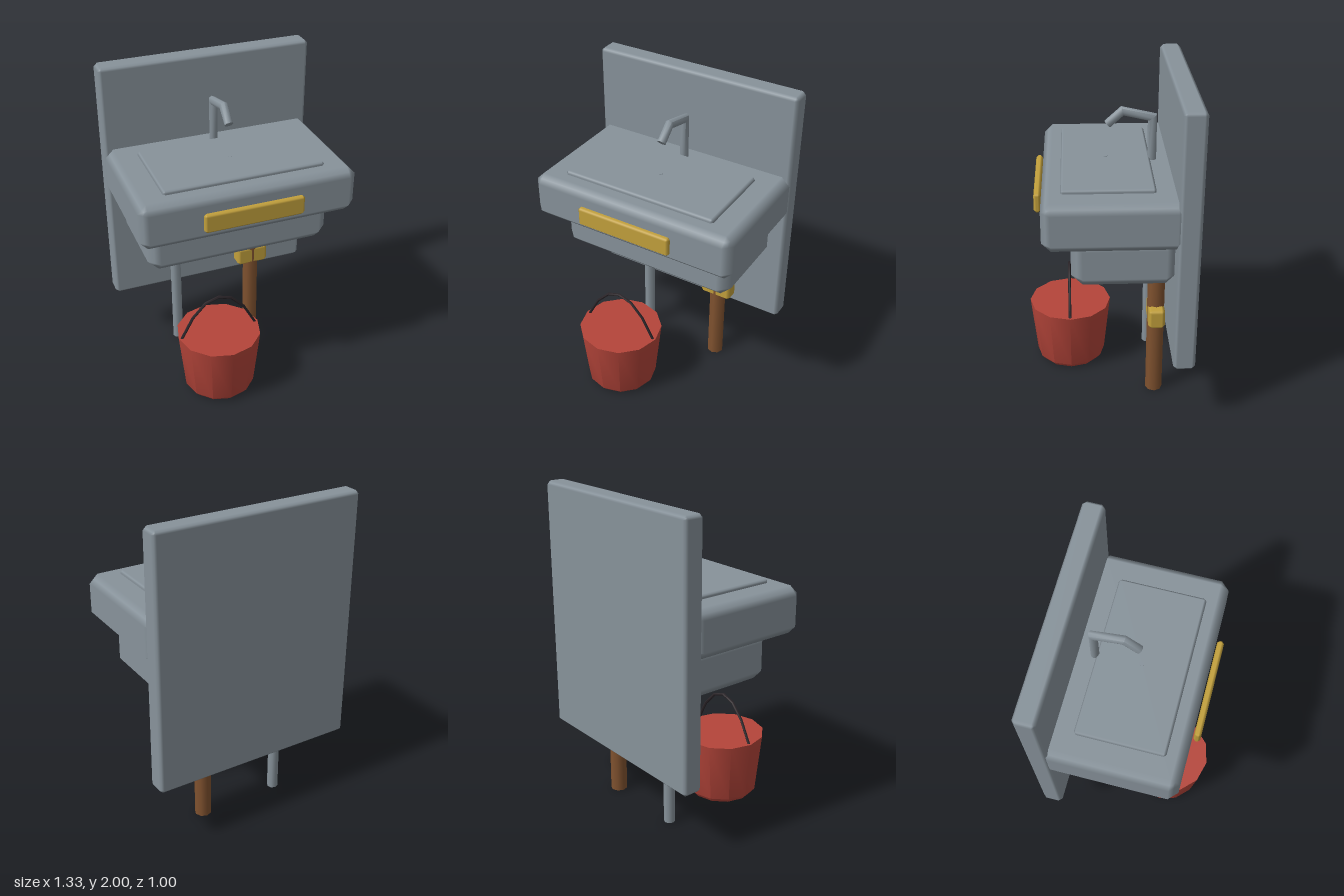
import * as THREE from 'three';
import { toCreasedNormals } from 'three/addons/utils/BufferGeometryUtils.js';
import { RoundedBoxGeometry } from 'three/addons/geometries/RoundedBoxGeometry.js';

const material = (name, color) => {
  const m = new THREE.MeshStandardMaterial({ color });
  m.name = name;
  return m;
};

// Box with flat chamfers and smooth shading, given by its min and max corners
function chamferBox(min, max, c) {
  const size = max.map((v, i) => v - min[i]);
  const geo = new RoundedBoxGeometry(...size, 1, c);
  const pos = geo.attributes.position, nor = geo.attributes.normal;
  const p = new THREE.Vector3(), n = new THREE.Vector3();
  for (let i = 0; i < pos.count; i++) {
    p.fromBufferAttribute(pos, i);
    n.fromBufferAttribute(nor, i);
    // pull the round edge in to a straight chamfer
    p.addScaledVector(n, c / n.manhattanLength() - c);
    pos.setXYZ(i, p.x, p.y, p.z);
  }
  return geo.translate(...min.map((v, i) => (v + max[i]) / 2));
}

// Round bar along a flat path in the xy plane, with mitred joints
function sweep(path, radius, sides) {
  const pts = path.map(([x, y]) => new THREE.Vector2(x, y));
  const last = pts.length - 1;
  const frames = pts.map((p, i) => {
    const a = pts[Math.min(i + 1, last)].clone().sub(pts[Math.min(i, last - 1)]).normalize();
    const b = pts[Math.max(i, 1)].clone().sub(pts[Math.max(i - 1, 0)]).normalize();
    const t = a.clone().add(b).normalize();
    return { p, t, miter: 1 / t.dot(a) };
  });
  const geo = new THREE.CylinderGeometry(radius, radius, 1, sides, last);
  const pos = geo.attributes.position;
  for (let i = 0; i < pos.count; i++) {
    const { p, t, miter } = frames[Math.round((pos.getY(i) + 0.5) * last)];
    const off = pos.getX(i) * miter;
    pos.setXY(i, p.x + t.y * off, p.y - t.x * off);
  }
  return toCreasedNormals(geo, 0.9);
}

export function createModel() {
  const group = new THREE.Group();
  const steel = material('steel', 0x87929a);
  const brass = material('brass', 0xc2a03c);
  const copper = material('copper', 0x80522f);
  const red = material('red', 0xb5453a);
  const black = material('black', 0x2a2428);

  const add = (name, geo, mat, x = 0, y = 0, z = 0) => {
    const mesh = new THREE.Mesh(geo, mat);
    mesh.name = name;
    mesh.position.set(x, y, z);
    group.add(mesh);
  };

  // Wall panel, sink and basin
  add('backPanel', chamferBox([-0.665, 0.405, -0.5], [0.665, 2, -0.37], 0.022), steel);
  add('sinkTop', chamferBox([-0.665, 1.19, -0.42], [0.665, 1.48, 0.38], 0.053), steel);
  add('lowerBasin', chamferBox([-0.575, 0.915, -0.39], [0.575, 1.225, 0.22], 0.067), steel);
  add('sinkInset', chamferBox([-0.495, 1.45, -0.26], [0.495, 1.503, 0.27], 0.015), steel);
  add('drain', new THREE.CylinderGeometry(0.015, 0.015, 0.008, 8), steel, 0, 1.501, 0.005);

  // Faucet, bent towards the front
  const faucet = sweep([[-0.273, 1.46], [-0.272, 1.742], [-0.095, 1.782], [-0.008, 1.703]], 0.027, 8);
  add('faucet', faucet.rotateY(-Math.PI / 2), steel);

  // Brass front plate
  add('frontPlate', chamferBox([-0.305, 1.275, 0.387], [0.305, 1.395, 0.428], 0.015), brass);

  // Pipes under the basin and the valve
  add('copperPipe', new THREE.CylinderGeometry(0.053, 0.053, 1, 8), copper, 0.265, 0.5, -0.296);
  add('steelPipe', new THREE.CylinderGeometry(0.035, 0.035, 1, 8), steel, -0.27, 0.5, -0.296);
  add('valve', chamferBox([0.16, 0.5, -0.347], [0.37, 0.63, -0.246], 0.02), brass);

  // Bucket with a closed top, and its handle
  const profile = [[0, 0], [0.2, 0], [0.225, 0.03], [0.265, 0.413], [0, 0.413]];
  const bucket = new THREE.LatheGeometry(profile.map(([r, y]) => new THREE.Vector2(r, y)), 12);
  add('bucket', toCreasedNormals(bucket, 0.6), red, -0.162, 0, 0.233);
  const arc = [[-0.25, 0.4], [-0.17, 0.55], [-0.085, 0.64], [0, 0.668], [0.085, 0.64], [0.17, 0.55], [0.25, 0.4]];
  add('bucketHandle', sweep(arc, 0.009, 6), black, -0.162, 0, 0.235);

  return group;
}
